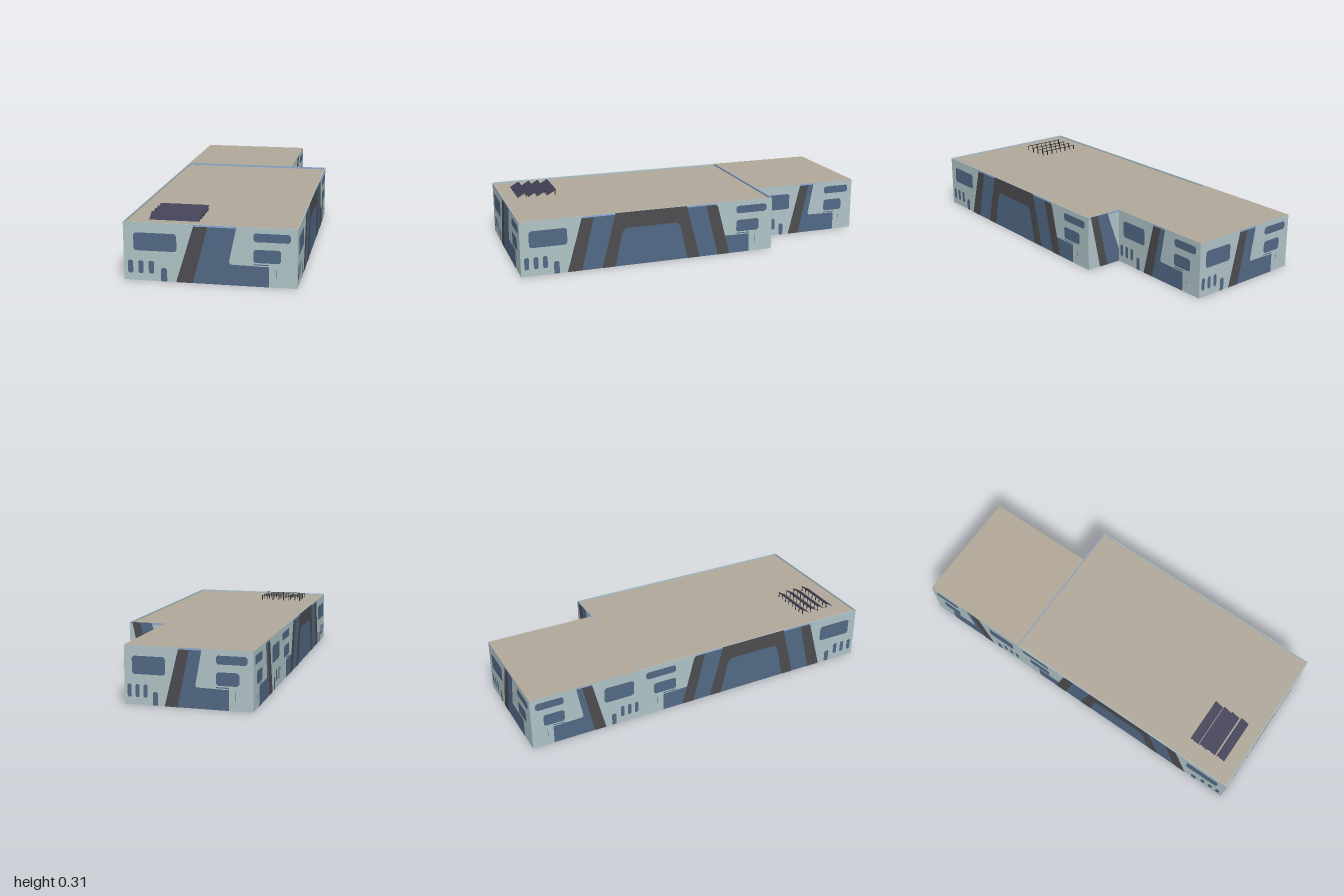
import * as THREE from 'three';

const mat = (name, color, side = THREE.FrontSide) => {
  const m = new THREE.MeshStandardMaterial({ color, side });
  m.name = name;
  return m;
};

export function createModel() {
  const pale = mat('paleWall', 0xb0c4c8);
  const blue = mat('blueGlass', 0x526986);
  const trim = mat('lightBlueTrim', 0x8faad0);
  const dark = mat('darkStripe', 0x4d4c50);
  const tan = mat('tanRoof', 0xb1a899);
  const slatMat = mat('ventPurple', 0x403e54);
  const black = mat('ventBar', 0x28272c);
  const under = mat('underside', 0x39393b);

  const root = new THREE.Group();
  root.name = 'building';
  const H = 0.29, ROOF = 0.28;
  const X0 = -0.424, X1 = 0.419, XA = 0.214, Z0 = -0.998, ZM = -0.388, Z1 = 0.998;

  const add = (parent, name, geo, material) => {
    const m = new THREE.Mesh(geo, material);
    m.name = name;
    parent.add(m);
    return m;
  };
  const box = (name, x0, x1, y0, y1, z0, z1, material) => {
    const m = add(root, name, new THREE.BoxGeometry(x1 - x0, y1 - y0, z1 - z0), material);
    m.position.set((x0 + x1) / 2, (y0 + y1) / 2, (z0 + z1) / 2);
    return m;
  };
  // box whose top and bottom faces carry their own colours (right, left, top, bottom, front, back)
  const blockMats = [pale, pale, tan, under, pale, pale];
  box('mainBlock', X0, X1, 0, ROOF, ZM, Z1, blockMats);
  box('rearAnnex', X0, XA, 0, H, Z0, ZM, blockMats);

  // low parapet around the main roof
  const T = 0.004;
  box('frontParapet', X0, X1, ROOF, H, Z1 - T, Z1, pale);
  box('rearParapet', X0, X1, ROOF, H, ZM, ZM + T, trim);
  box('leftParapet', X1 - T, X1, ROOF, H, ZM, Z1, pale);
  box('rightParapet', X0, X0 + T, ROOF, H, ZM, Z1, pale);

  // a wall group: local x runs along the wall, local z points outward
  function wall(name, x, z, turn, length, mirrored = false) {
    const g = new THREE.Group();
    g.name = name;
    g.position.set(x, 0, z);
    g.rotation.y = turn;
    root.add(g);
    const plate = (part, pts, material, layer = 1) => {
      const shape = new THREE.Shape(pts.map(([u, v]) =>
        new THREE.Vector2(mirrored ? length - u : u, v)));
      add(g, part, new THREE.ShapeGeometry(shape), material).position.z = layer * 0.001;
    };
    // window with clipped corners
    const pane = (part, u0, u1, v0, v1, c = 0.01) => plate(part, [
      [u0 + c, v0], [u1 - c, v0], [u1, v0 + c], [u1, v1 - c],
      [u1 - c, v1], [u0 + c, v1], [u0, v1 - c], [u0, v0 + c]], blue);
    return { plate, pane };
  }

  // standard facade: window bay at one end, double windows at the other, glazing between
  function facade(w, L, s, t, framed) {
    const { plate, pane } = w;
    const e = (d) => L - d * t;
    pane('bayWindow', 0.05 * s, 0.262 * s, 0.15, 0.239);
    for (let i = 0; i < 3; i++) {
      const u = (0.02 + 0.0515 * i) * s;
      pane('slitWindow', u, u + 0.026 * s, 0.036, 0.1, 0.006);
    }
    plate('sideDoor', [[0.183 * s, 0], [0.214 * s, 0], [0.214 * s, 0.06],
      [0.206 * s, 0.067], [0.191 * s, 0.067], [0.183 * s, 0.06]], blue);

    const topEnd = framed ? L - 0.33 : e(0.292);
    plate('glazing', [[0.3 * s, 0], [e(0.135), 0], [e(0.135), 0.1], [e(0.32), 0.103],
      [e(0.327), 0.115], [topEnd, 0.281], [0.38 * s, 0.281]], blue);
    plate('glazingTopTrim', [[0.345 * s, 0.281], [topEnd, 0.281], [topEnd, H], [0.345 * s, H]], trim);
    plate('slantedStripe', [[0.258 * s, 0], [0.34 * s, 0], [0.413 * s, 0.281],
      [0.345 * s, 0.281]], dark, 2);

    pane('upperWindow', e(0.21), e(0.033), 0.22, 0.262);
    pane('lowerWindow', e(0.21), e(0.078), 0.118, 0.183);
    plate('windowSill', [[e(0.21), 0.106], [e(0.135), 0.106], [e(0.135), 0.111], [e(0.21), 0.111]], blue);
    plate('narrowSlot', [[e(0.1), 0.048], [e(0.097), 0.048], [e(0.097), 0.09], [e(0.1), 0.09]], blue);

    if (framed) {
      plate('farSlantedStripe', [[L - 0.318, 0], [L - 0.25, 0], [L - 0.318, 0.27],
        [L - 0.328, 0.281], [L - 0.385, 0.281]], dark, 2);
      // trapezoid arch around the central glazing
      plate('centralArch', [[0.425, 0], [0.495, 0], [0.535, 0.185], [0.555, 0.205],
        [0.835, 0.205], [0.855, 0.185], [0.895, 0], [0.965, 0], [0.89, H], [0.5, H]], dark, 2);
    }
  }

  const Q = Math.PI / 2;
  const W = X1 - X0, D = Z1 - ZM, A = ZM - Z0;
  facade(wall('frontWall', X0, Z1, 0, W), W, 1, 1, false);
  facade(wall('mainLeftWall', X1, Z1, Q, D), D, 0.93, 1, true);
  facade(wall('mainRightWall', X0, ZM, -Q, D, true), D, 0.93, 1, true);
  facade(wall('annexLeftWall', XA, ZM, Q, A), A, 0.79, 0.86, false);
  facade(wall('annexRightWall', X0, Z0, -Q, A, true), A, 0.79, 0.86, false);
  facade(wall('annexRearWall', XA, Z0, Math.PI, XA - X0), XA - X0, 0.79, 0.86, false);

  // short exposed rear wall of the main block
  const step = wall('stepWall', X1, ZM, Math.PI, X1 - XA);
  step.plate('slantedStripe', [[0.075, 0], [0.125, 0], [0.06, H], [0.015, H]], dark);
  step.plate('glazing', [[0.125, 0], [0.204, 0], [0.204, 0.07], [0.125, H], [0.06, H]], blue);

  // rooftop vent: sloping slats open at the back, with thin bars
  const vent = new THREE.Group();
  vent.name = 'roofVent';
  root.add(vent);
  const vx0 = -0.317, vx1 = -0.067, rise = 0.029, run = 0.05;
  for (const zBack of [0.7, 0.755, 0.806, 0.865]) {
    const slat = add(vent, 'ventSlat', new THREE.PlaneGeometry(vx1 - vx0, Math.hypot(run, rise)), slatMat);
    slat.position.set((vx0 + vx1) / 2, ROOF + 0.002 + rise / 2, zBack + run / 2);
    slat.rotation.x = -Math.atan2(run, rise);
    for (let i = 0; i < 8; i++) {
      const bar = add(vent, 'ventBar', new THREE.BoxGeometry(0.004, rise, 0.002), black);
      bar.position.set(vx0 + 0.004 + i * (vx1 - vx0 - 0.008) / 7, ROOF + rise / 2, zBack + 0.002);
    }
    const rail = add(vent, 'ventRail', new THREE.BoxGeometry(vx1 - vx0, 0.003, 0.002), black);
    rail.position.set((vx0 + vx1) / 2, ROOF + rise - 0.002, zBack + 0.002);
  }
  return root;
}
